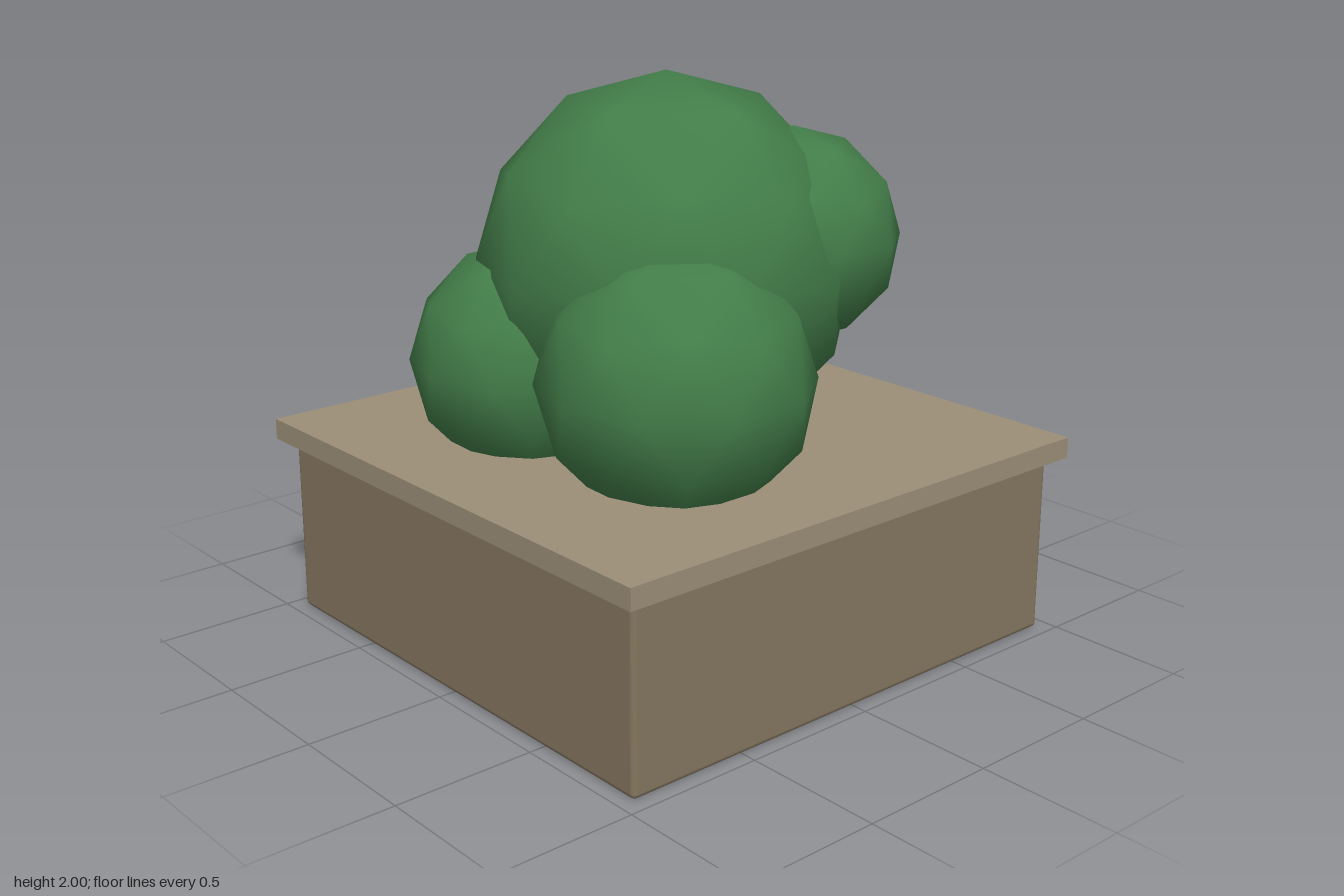
import * as THREE from 'three';
import { RoundedBoxGeometry } from 'three/addons/geometries/RoundedBoxGeometry.js';

// Smooth low-poly ball with a vertex pointing straight up
function foliageGeometry(radius) {
  const geometry = new THREE.IcosahedronGeometry(radius, 1);
  geometry.rotateX(-Math.atan2((1 + Math.sqrt(5)) / 2, 1));
  geometry.rotateY(Math.PI / 2);
  return geometry;
}

export function createModel() {
  const model = new THREE.Group();
  model.name = 'planter';

  const wallMaterial = new THREE.MeshStandardMaterial({ color: 0x857660 });
  const slabMaterial = new THREE.MeshStandardMaterial({ color: 0x9c8f78 });
  const leafMaterial = new THREE.MeshStandardMaterial({ color: 0x437d49 });

  function add(name, geometry, material, x, y, z) {
    const mesh = new THREE.Mesh(geometry, material);
    mesh.name = name;
    mesh.position.set(x, y, z);
    model.add(mesh);
  }

  // Planter: softly bevelled box under an overhanging slab
  add('planterBox', new RoundedBoxGeometry(1.9, 0.66, 1.9, 2, 0.02), wallMaterial, 0, 0.33, 0);
  add('planterSlab', new THREE.BoxGeometry(2, 0.075, 2), slabMaterial, 0, 0.6875, 0);

  // Bush: one large crown with four smaller clumps sunk into it
  const clumps = [
    ['bushCrown', 0.665, 0, 1.335, 0],
    ['bushFrontLeft', 0.47, 0.38, 1.05, 0.285],
    ['bushFrontRight', 0.42, -0.29, 1.0, 0.38],
    ['bushBackRight', 0.5, -0.38, 1.1, -0.24],
    ['bushBackLeft', 0.38, 0.28, 1.43, -0.33],
  ];
  for (const [name, radius, x, y, z] of clumps) {
    add(name, foliageGeometry(radius), leafMaterial, x, y, z);
  }

  return model;
}
